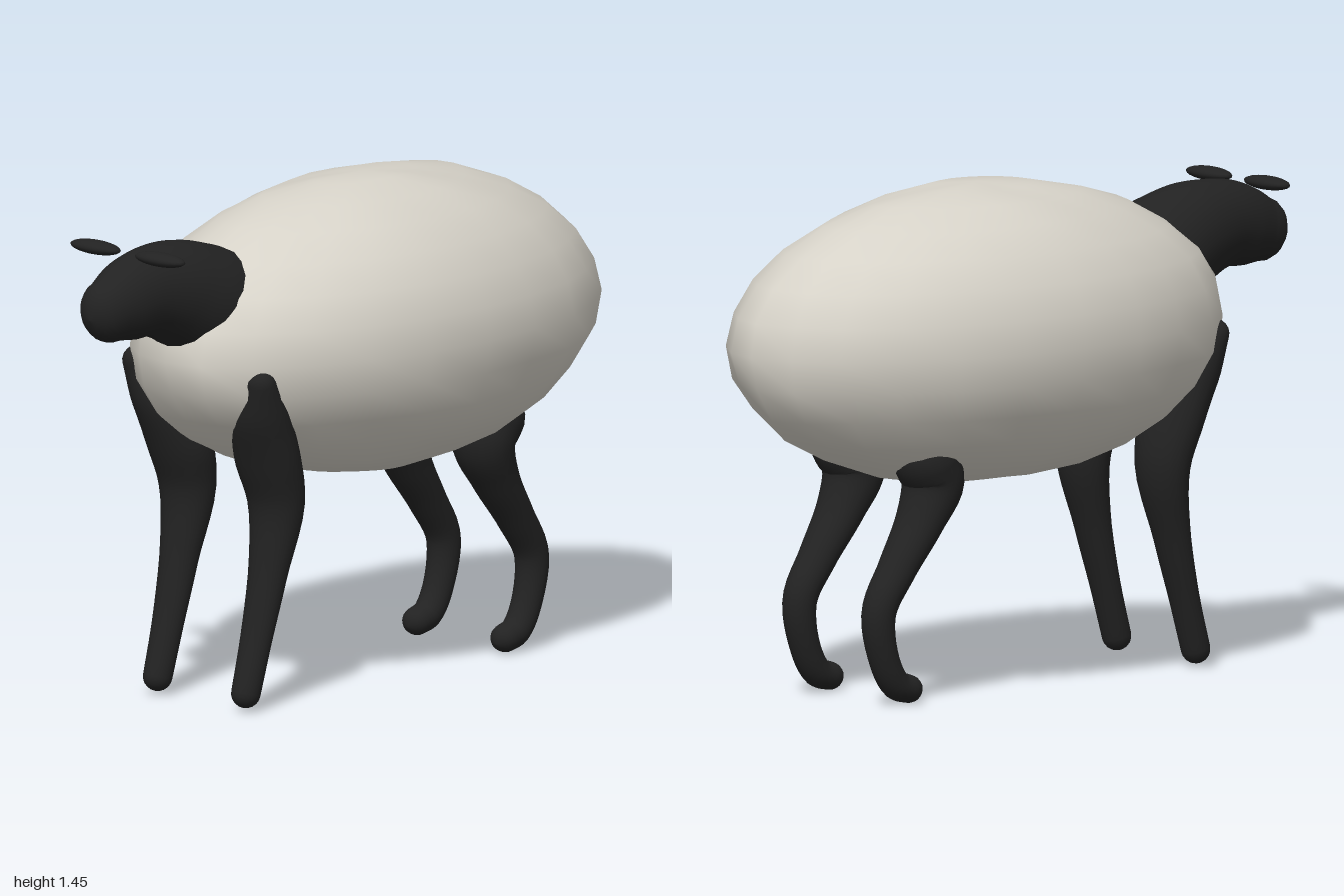
import * as THREE from 'three';
import { mergeVertices } from 'three/addons/utils/BufferGeometryUtils.js';

const SIDES = 20;

// Rounded limb through stations [x, y, z, sideRadius, depthRadius], with domed ends.
function limb(stations, steps = 28, caps = 5) {
  const centre = new THREE.CatmullRomCurve3(stations.map(s => new THREE.Vector3(s[0], s[1], s[2])));
  const radii = new THREE.CatmullRomCurve3(stations.map(s => new THREE.Vector3(s[3], s[4], 0)));
  const rings = [];
  const addRing = (t, shift, scale) => {
    const tangent = centre.getTangent(t);
    const side = new THREE.Vector3(1, 0, 0);
    tangent.x = 0; // sections stay square to the side plane
    tangent.normalize();
    const depth = new THREE.Vector3().crossVectors(tangent, side);
    const r = radii.getPoint(t);
    const c = centre.getPoint(t).addScaledVector(tangent, shift * Math.min(r.x, r.y));
    rings.push({ c, side, depth, a: r.x * scale, b: r.y * scale });
  };
  for (let i = 0; i < caps; i++) {
    const a = (i / caps) * Math.PI / 2;
    addRing(0, -Math.cos(a), Math.max(Math.sin(a), 0.001));
  }
  for (let i = 0; i <= steps; i++) addRing(i / steps, 0, 1);
  for (let i = caps - 1; i >= 0; i--) {
    const a = (i / caps) * Math.PI / 2;
    addRing(1, Math.cos(a), Math.max(Math.sin(a), 0.001));
  }

  const pos = [], index = [];
  rings.forEach(({ c, side, depth, a, b }, j) => {
    for (let i = 0; i < SIDES; i++) {
      const q = (i / SIDES) * Math.PI * 2;
      const p = c.clone().addScaledVector(side, a * Math.cos(q)).addScaledVector(depth, b * Math.sin(q));
      pos.push(p.x, p.y, p.z);
      if (j === 0) continue;
      const n = (i + 1) % SIDES, lo = (j - 1) * SIDES, hi = j * SIDES;
      index.push(lo + i, lo + n, hi + n, lo + i, hi + n, hi + i);
    }
  });
  const g = new THREE.BufferGeometry();
  g.setAttribute('position', new THREE.Float32BufferAttribute(pos, 3));
  g.setIndex(index);
  g.computeVertexNormals();
  return g;
}

// Coarse ellipsoid with gentle lumps, like a clipped fleece.
function fleeceGeometry() {
  let g = new THREE.SphereGeometry(1, 24, 14);
  g.deleteAttribute('uv');
  g.deleteAttribute('normal');
  g = mergeVertices(g, 1e-4);
  const p = g.attributes.position, v = new THREE.Vector3();
  for (let i = 0; i < p.count; i++) {
    v.fromBufferAttribute(p, i);
    const lump = 1.005 + 0.012 * Math.sin(7 * v.x + 3 * v.y) * Math.cos(6 * v.z - 4 * v.y)
      + 0.008 * Math.sin(11 * v.z + 9 * v.x);
    v.multiplyScalar(lump);
    p.setXYZ(i, v.x * 0.483, v.y * 0.43, v.z * 0.843);
  }
  g.computeVertexNormals();
  return g;
}

export function createModel() {
  const model = new THREE.Group();
  const wool = new THREE.MeshStandardMaterial({ color: 0xd6d2c8 });
  wool.name = 'cream wool';
  const skin = new THREE.MeshStandardMaterial({ color: 0x222222 });
  skin.name = 'black skin';

  const add = (name, geometry, material) => {
    const mesh = new THREE.Mesh(geometry, material);
    mesh.name = name;
    model.add(mesh);
    return mesh;
  };

  // Fleece body
  add('body', fleeceGeometry(), wool).position.set(0, 1.03, -0.157);

  // Neck, head and muzzle in one sweep
  add('head', limb([
    [0, 1.14, 0.42, 0.165, 0.17],
    [0, 1.19, 0.54, 0.165, 0.165],
    [0, 1.235, 0.66, 0.14, 0.15],
    [0, 1.25, 0.77, 0.115, 0.13],
    [0, 1.235, 0.86, 0.098, 0.117],
    [0, 1.22, 0.925, 0.08, 0.095],
  ]), skin);

  for (const s of [1, -1]) {
    const side = s > 0 ? 'left' : 'right';

    // Flat oval ears
    const ear = add(side + 'Ear', new THREE.SphereGeometry(1, 20, 12), skin);
    ear.scale.set(0.093, 0.02, 0.036);
    ear.position.set(s * 0.126, 1.375, 0.842);

    // Front leg, from hoof to shoulder
    add(side + 'FrontLeg', limb([
      [s * 0.172, 0.06, 0.53, 0.043, 0.042],
      [s * 0.172, 0.2, 0.49, 0.049, 0.041],
      [s * 0.173, 0.4, 0.438, 0.062, 0.05],
      [s * 0.173, 0.6, 0.403, 0.092, 0.07],
      [s * 0.173, 0.74, 0.44, 0.108, 0.08],
      [s * 0.195, 0.87, 0.492, 0.093, 0.078],
      [s * 0.235, 0.98, 0.54, 0.052, 0.045],
    ]), skin);

    // Hind leg, with bent hock and forward hoof
    add(side + 'HindLeg', limb([
      [s * 0.172, 0.05, -0.565, 0.044, 0.041],
      [s * 0.172, 0.066, -0.61, 0.045, 0.043],
      [s * 0.172, 0.14, -0.655, 0.046, 0.043],
      [s * 0.172, 0.28, -0.676, 0.052, 0.049],
      [s * 0.172, 0.4, -0.607, 0.062, 0.053],
      [s * 0.172, 0.53, -0.52, 0.08, 0.064],
      [s * 0.173, 0.64, -0.472, 0.1, 0.085],
      [s * 0.178, 0.71, -0.5, 0.1, 0.095],
    ], 36), skin);
  }
  return model;
}
